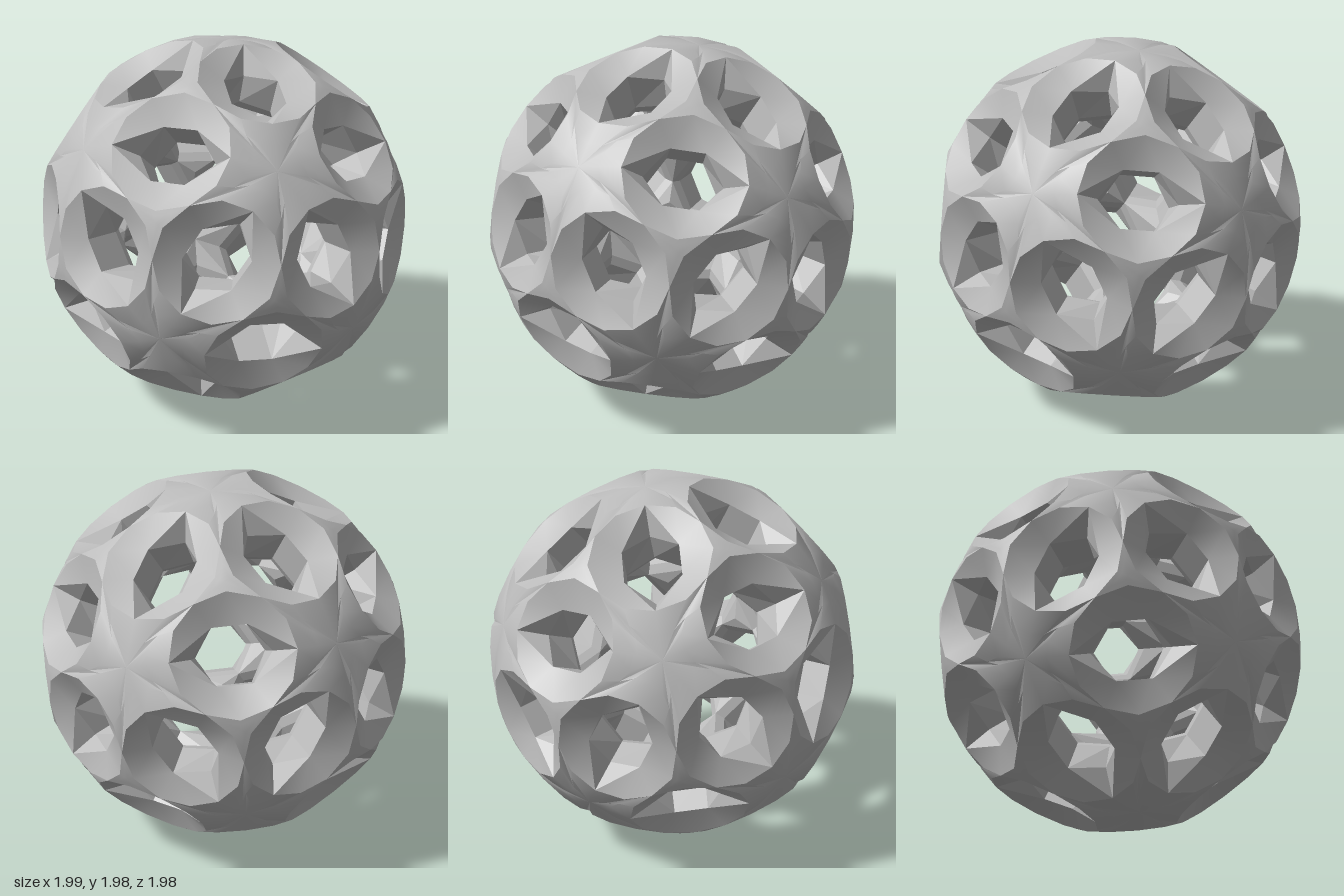
import * as THREE from 'three';
import { toCreasedNormals } from 'three/addons/utils/BufferGeometryUtils.js';

const RING = { r: Math.sin(Math.PI / 10), h: Math.cos(Math.PI / 10) }; // touching circles on the sphere
const RIM = { r: 0.168, h: 0.89 };     // corners of each tunnel mouth
const NOTCH = { r: 0.2, h: 0.83 };     // valley floor where the mouth opens towards a star
const THROAT = { r: 0.175, h: 0.68 };  // inner end of each tunnel
const INNER = 0.66;                    // radius of the hollow inside

// The two kinds of sector around a hole: half angle, ring segments, rim corner under each ring point
const STAR_ARC = THREE.MathUtils.degToRad(58.2825);
const STAR = { panel: 'starPanels', half: STAR_ARC, top: 0.977, corners: [-1, -1, 0, 1, 1] };
const TRIANGLE = { panel: 'trianglePanels', half: Math.PI / 2 - STAR_ARC, top: 0.998, corners: [-1, -1, 1] };

export function createModel() {
  const grey = new THREE.MeshStandardMaterial({ color: 0xbcbcbc });
  grey.name = 'grey';

  // Tilted frame made of three two-fold axes
  const e1 = new THREE.Vector3(-0.131, 0.106, 0.986).normalize();
  const e2 = new THREE.Vector3(-0.402, 0.902, -0.158);
  e2.addScaledVector(e1, -e2.dot(e1)).normalize();
  const e3 = e1.clone().cross(e2);
  const frame = new THREE.Matrix4().makeBasis(e1, e2, e3);

  // Twelve star centres: the corners of an icosahedron
  const phi = (1 + Math.sqrt(5)) / 2;
  const stars = [];
  for (const s of [1, -1]) for (const t of [phi, -phi]) {
    for (const p of [[t, s, 0], [0, t, s], [s, 0, t]]) {
      stars.push(new THREE.Vector3(...p).normalize().applyMatrix4(frame));
    }
  }
  const near = (p, q) => Math.abs(p.dot(q) - 1 / Math.sqrt(5)) < 0.01;

  const parts = { starPanels: [], trianglePanels: [], dishedRings: [], tunnelWalls: [], innerShell: [] };

  // Joins two rows of points with triangles, skipping collapsed ones
  const strip = (list, a, b) => {
    for (let i = 0; i < a.length - 1; i++) {
      for (const [p, q, r] of [[a[i], a[i + 1], b[i + 1]], [a[i], b[i + 1], b[i]]]) {
        if (p.distanceTo(q) > 1e-5 && q.distanceTo(r) > 1e-5 && p.distanceTo(r) > 1e-5) {
          list.push(...p.toArray(), ...q.toArray(), ...r.toArray());
        }
      }
    }
  };

  // One sector of a hole: panel, dished ring, tunnel wall and inner shell
  const wedge = (axis, centre, { panel, half, top, corners }) => {
    const t = centre.clone().addScaledVector(axis, -centre.dot(axis)).normalize();
    const s = axis.clone().cross(t);
    const at = (angle, { r, h }) => axis.clone().multiplyScalar(h)
      .addScaledVector(t, r * Math.cos(angle)).addScaledVector(s, r * Math.sin(angle));
    const segments = corners.length - 1;
    const outer = corners.map((_, i) => at(half * (2 * i / segments - 1), RING));
    const row = (size) => corners.map((k) => at(half * k, size));

    // Gently domed panel from its centre to the ring
    const peak = centre.clone().multiplyScalar(top);
    const middle = outer.map((p) => peak.clone().lerp(p, 0.5).setLength((top + 1) / 2));
    strip(parts[panel], outer.map(() => peak), middle);
    strip(parts[panel], middle, outer);

    // Ring slopes in to the mouth, which runs out to the ring at each star
    const rim = row(RIM);
    const mouth = rim.map((p, i) => (corners[i] === 0 ? outer[i] : p));
    const floor = rim.map((p, i) => (corners[i] === 0 ? at(0, NOTCH) : p));
    const throat = row(THROAT);
    strip(parts.dishedRings, outer, mouth);
    strip(parts.tunnelWalls, mouth, floor);
    strip(parts.tunnelWalls, floor, throat);

    // Lining of the hollow
    const lining = row({ r: RING.r * INNER, h: RING.h * INNER });
    strip(parts.innerShell, throat, lining);
    strip(parts.innerShell, lining, lining.map(() => centre.clone().multiplyScalar(INNER * 0.95)));
  };

  // Thirty holes, each between two stars and two triangles
  stars.forEach((p, i) => stars.forEach((q, j) => {
    if (j <= i || !near(p, q)) return;
    const axis = p.clone().add(q).normalize();
    for (const c of [p, q]) wedge(axis, c, STAR);
    for (const c of stars) {
      if (near(c, p) && near(c, q)) wedge(axis, p.clone().add(q).add(c).normalize(), TRIANGLE);
    }
  }));

  const group = new THREE.Group();
  group.name = 'piercedSphere';
  const creases = { starPanels: 0.7, trianglePanels: 0.7, dishedRings: 0.45, tunnelWalls: 0.2, innerShell: 0.2 };
  for (const [name, points] of Object.entries(parts)) {
    const geometry = new THREE.BufferGeometry();
    geometry.setAttribute('position', new THREE.Float32BufferAttribute(points, 3));
    geometry.computeVertexNormals();
    const mesh = new THREE.Mesh(toCreasedNormals(geometry, creases[name]), grey);
    mesh.name = name;
    group.add(mesh);
  }

  // Stand the sphere on the ground
  const box = new THREE.Box3().setFromObject(group);
  group.children.forEach((m) => m.geometry.translate(0, -box.min.y, 0));
  return group;
}
